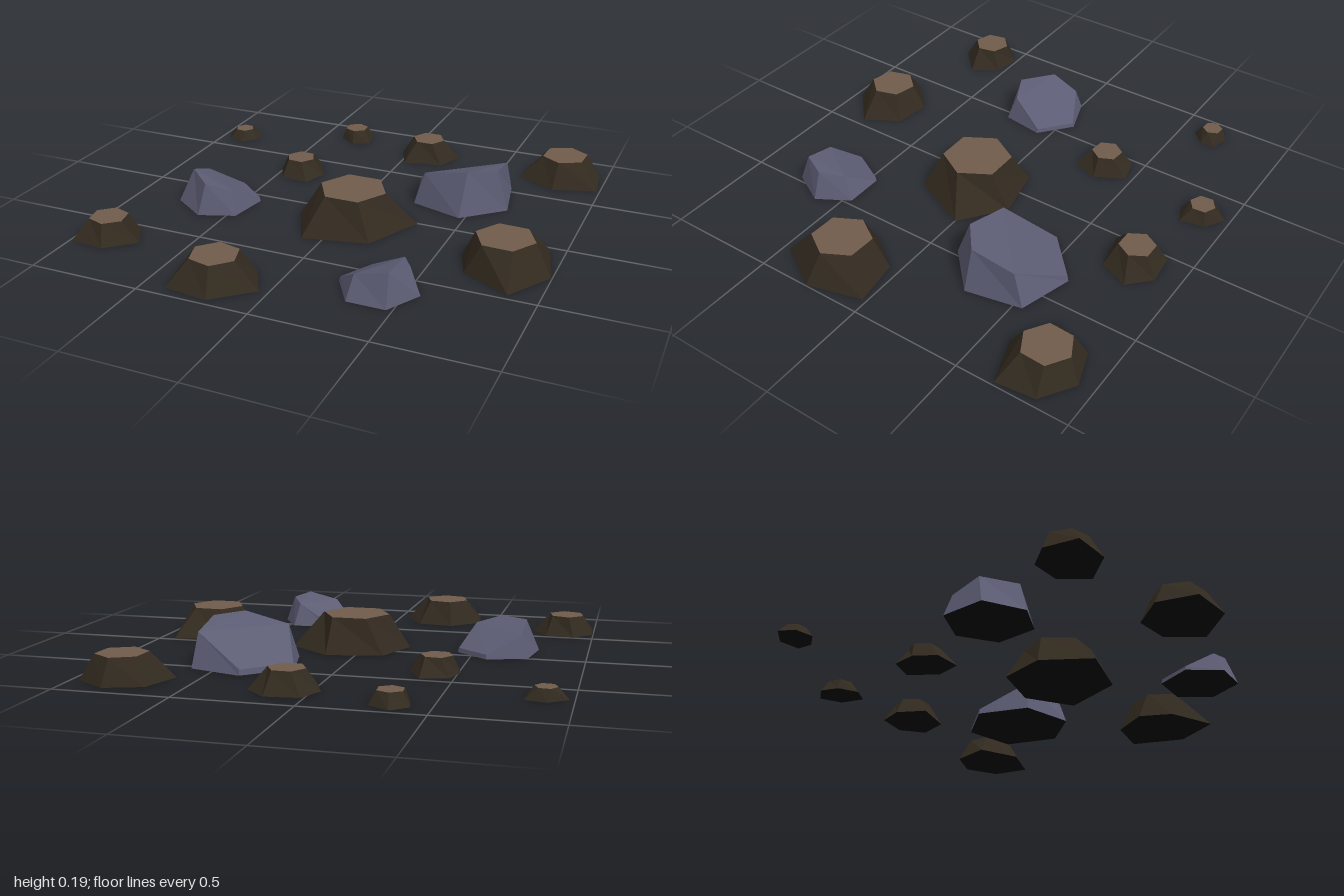
import * as THREE from 'three';

const mat = (name, color) => Object.assign(new THREE.MeshStandardMaterial({ color, flatShading: true }), { name });

// Six-sided rock from a foot ring [x, z] and an upper ring [x, y, z].
// Groups: 0 flanks, 1 underside, 2 top.
function rockGeometry(foot, upper) {
  const base = foot.map(([x, z]) => [x, 0, z]);
  const n = base.length;
  const pos = [];
  const tri = (a, b, c) => pos.push(...a, ...b, ...c);
  const g = new THREE.BufferGeometry();
  let start = 0;
  const closeGroup = (index) => {
    g.addGroup(start, pos.length / 3 - start, index);
    start = pos.length / 3;
  };
  for (let i = 0; i < n; i++) {
    const j = (i + 1) % n;
    tri(base[i], upper[i], upper[j]);
    tri(base[i], upper[j], base[j]);
  }
  closeGroup(0);
  for (let i = 1; i < n - 1; i++) tri(base[0], base[i], base[i + 1]);
  closeGroup(1);
  for (let i = 2; i < n; i++) tri(upper[1], upper[(i + 1) % n], upper[i]);
  closeGroup(2);
  g.setAttribute('position', new THREE.Float32BufferAttribute(pos, 3));
  g.computeVertexNormals();
  return g;
}

// Regular flat crown ring
function crownRing(height, [cx, cz, radius, degrees]) {
  return Array.from({ length: 6 }, (_, i) => {
    const a = THREE.MathUtils.degToRad(degrees + i * 60);
    return [cx + radius * Math.cos(a), height, cz + radius * Math.sin(a)];
  });
}

export function createModel() {
  const model = new THREE.Group();
  model.name = 'rockField';
  const flank = mat('darkEarth', 0x322a1f);
  const crown = mat('lightEarth', 0x705c4c);
  const stone = mat('greyStone', 0x5c5c74);
  const under = mat('blackUnderside', 0x080808);

  const add = (name, geometry, materials) => {
    const mesh = new THREE.Mesh(geometry, materials);
    mesh.name = name;
    model.add(mesh);
  };
  const mound = (name, height, top, foot) =>
    add(name, rockGeometry(foot, crownRing(height, top)), [flank, under, crown]);
  const boulder = (name, foot, upper) =>
    add(name, rockGeometry(foot, upper), [stone, under, stone]);

  // Earth mounds: height, crown [x, z, radius, start angle], foot outline
  mound('centreMound', 0.155, [0.045, 0.075, 0.155, -60],
    [[0.13, -0.15], [0.325, 0], [0.2, 0.27], [-0.09, 0.335], [-0.2, 0.11], [-0.12, -0.1]]);
  mound('backLeftMound', 0.112, [0.8, -0.78, 0.11, -87],
    [[0.82, -0.935], [0.965, -0.84], [0.985, -0.665], [0.785, -0.6], [0.6, -0.7], [0.66, -0.88]]);
  mound('backMiddleMound', 0.092, [0.1, -0.78, 0.08, -60],
    [[0.16, -0.9], [0.255, -0.81], [0.2, -0.675], [0.02, -0.64], [-0.035, -0.77], [0.015, -0.885]]);
  mound('backSmallMound', 0.055, [-0.335, -0.87, 0.058, -95],
    [[-0.35, -0.975], [-0.26, -0.92], [-0.24, -0.81], [-0.32, -0.775], [-0.4, -0.825], [-0.42, -0.91]]);
  mound('backRightTinyMound', 0.047, [-0.89, -0.65, 0.047, -115],
    [[-0.9, -0.72], [-0.81, -0.7], [-0.81, -0.63], [-0.87, -0.57], [-0.95, -0.59], [-0.98, -0.66]]);
  mound('innerSmallMound', 0.075, [-0.41, -0.34, 0.07, -55],
    [[-0.36, -0.47], [-0.29, -0.34], [-0.33, -0.22], [-0.46, -0.23], [-0.51, -0.33], [-0.48, -0.44]]);
  mound('frontRightMound', 0.09, [-0.87, 0.63, 0.085, -102],
    [[-0.91, 0.515], [-0.78, 0.53], [-0.71, 0.65], [-0.83, 0.76], [-0.99, 0.745], [-1, 0.6]]);
  mound('frontMound', 0.112, [-0.25, 0.8, 0.107, -107],
    [[-0.295, 0.645], [-0.13, 0.67], [-0.04, 0.825], [-0.2, 0.97], [-0.4, 0.945], [-0.425, 0.77]]);
  mound('leftMound', 0.132, [0.79, 0.235, 0.13, -58],
    [[0.93, 0.02], [0.995, 0.265], [0.87, 0.47], [0.655, 0.36], [0.6, 0.21], [0.715, 0.05]]);

  // Grey boulders: foot outline, upper ring; the first and last corners slope almost to the ground
  boulder('largeBoulder',
    [[0.365, -0.61], [0.605, -0.54], [0.655, -0.29], [0.475, -0.125], [0.235, -0.2], [0.18, -0.44]],
    [[0.365, 0.025, -0.605], [0.59, 0.15, -0.49], [0.6, 0.185, -0.29],
      [0.485, 0.195, -0.2], [0.275, 0.15, -0.225], [0.185, 0.025, -0.44]]);
  boulder('rightBoulder',
    [[-0.43, 0.06], [-0.46, 0.25], [-0.62, 0.31], [-0.78, 0.2], [-0.75, 0], [-0.575, -0.06]],
    [[-0.435, 0.02, 0.06], [-0.49, 0.11, 0.22], [-0.6, 0.14, 0.265],
      [-0.725, 0.148, 0.15], [-0.72, 0.1, 0.02], [-0.575, 0.02, -0.055]]);
  boulder('frontBoulder',
    [[0.3, 0.465], [0.475, 0.465], [0.56, 0.61], [0.475, 0.765], [0.305, 0.765], [0.215, 0.62]],
    [[0.3, 0.02, 0.47], [0.455, 0.105, 0.51], [0.515, 0.122, 0.61],
      [0.465, 0.135, 0.715], [0.32, 0.1, 0.715], [0.22, 0.02, 0.62]]);

  return model;
}
